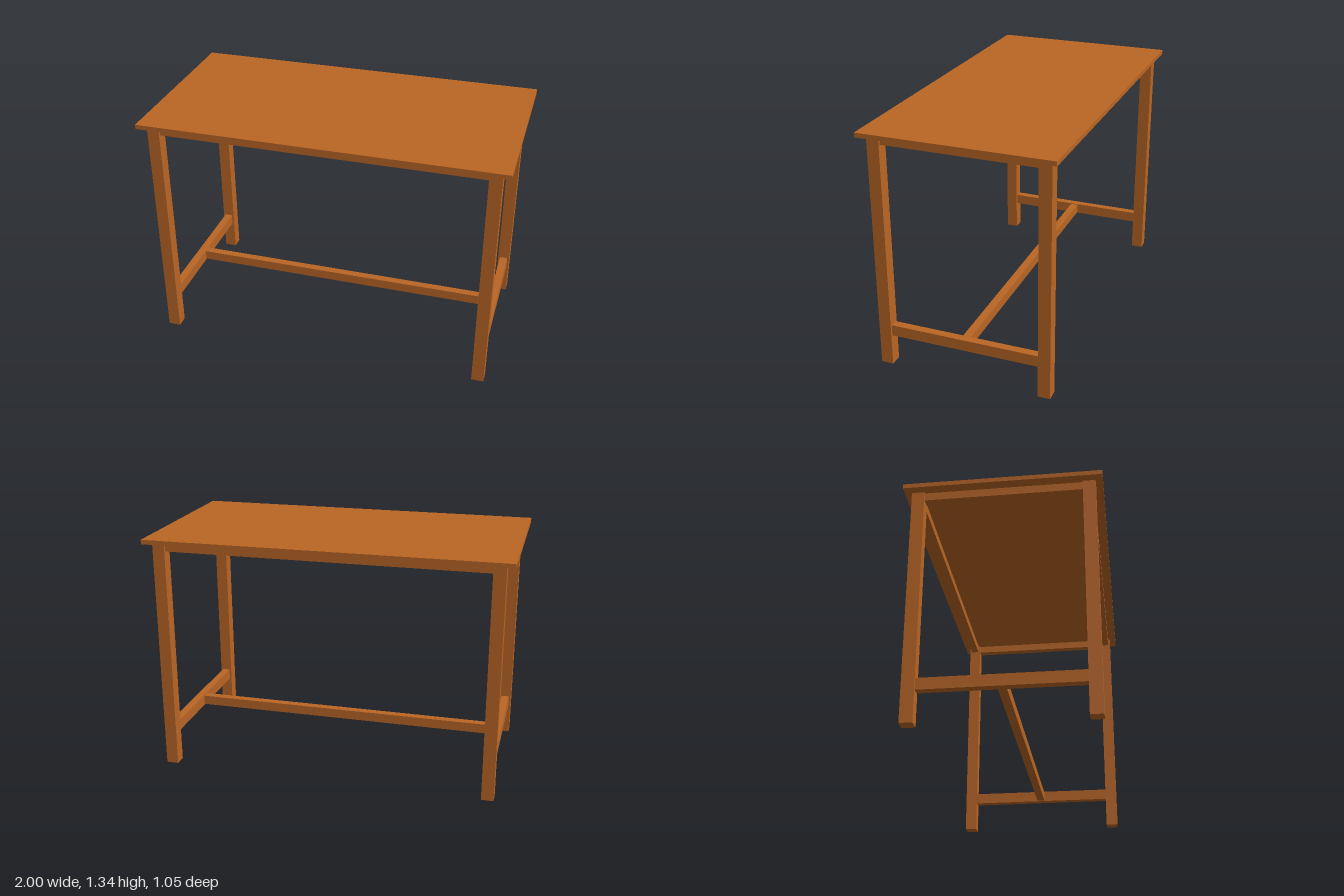
import * as THREE from 'three';

export function createModel() {
  const table = new THREE.Group();
  table.name = 'table';
  const wood = new THREE.MeshStandardMaterial({ color: 0xbb6625 });

  // Box given by its size, centre x/z and bottom height
  function board(name, w, h, d, x, y, z) {
    const mesh = new THREE.Mesh(new THREE.BoxGeometry(w, h, d), wood);
    mesh.name = name;
    mesh.position.set(x, y + h / 2, z);
    table.add(mesh);
  }

  const topY = 1.318, leg = 0.068, rail = 0.045;
  const legX = 0.919, legZ = 0.454;
  const spanX = 2 * legX - leg, spanZ = 2 * legZ - leg;

  board('tableTop', 2, 0.025, 1.052, 0, topY, 0);

  for (const s of [-1, 1]) {
    // Legs
    for (const t of [-1, 1]) board('leg', leg, topY, leg, s * legX, 0, t * legZ);
    // Aprons under the top
    board('longApron', spanX, 0.045, rail, 0, topY - 0.045, s * legZ);
    board('sideApron', rail, 0.045, spanZ, s * legX, topY - 0.045, 0);
    // Low rails between the end legs
    board('sideStretcher', rail, 0.063, spanZ, s * legX, 0.174, 0);
  }

  // Centre bar joining the two low rails
  board('centreStretcher', 2 * legX - rail, 0.055, rail, 0, 0.178, 0);

  return table;
}
